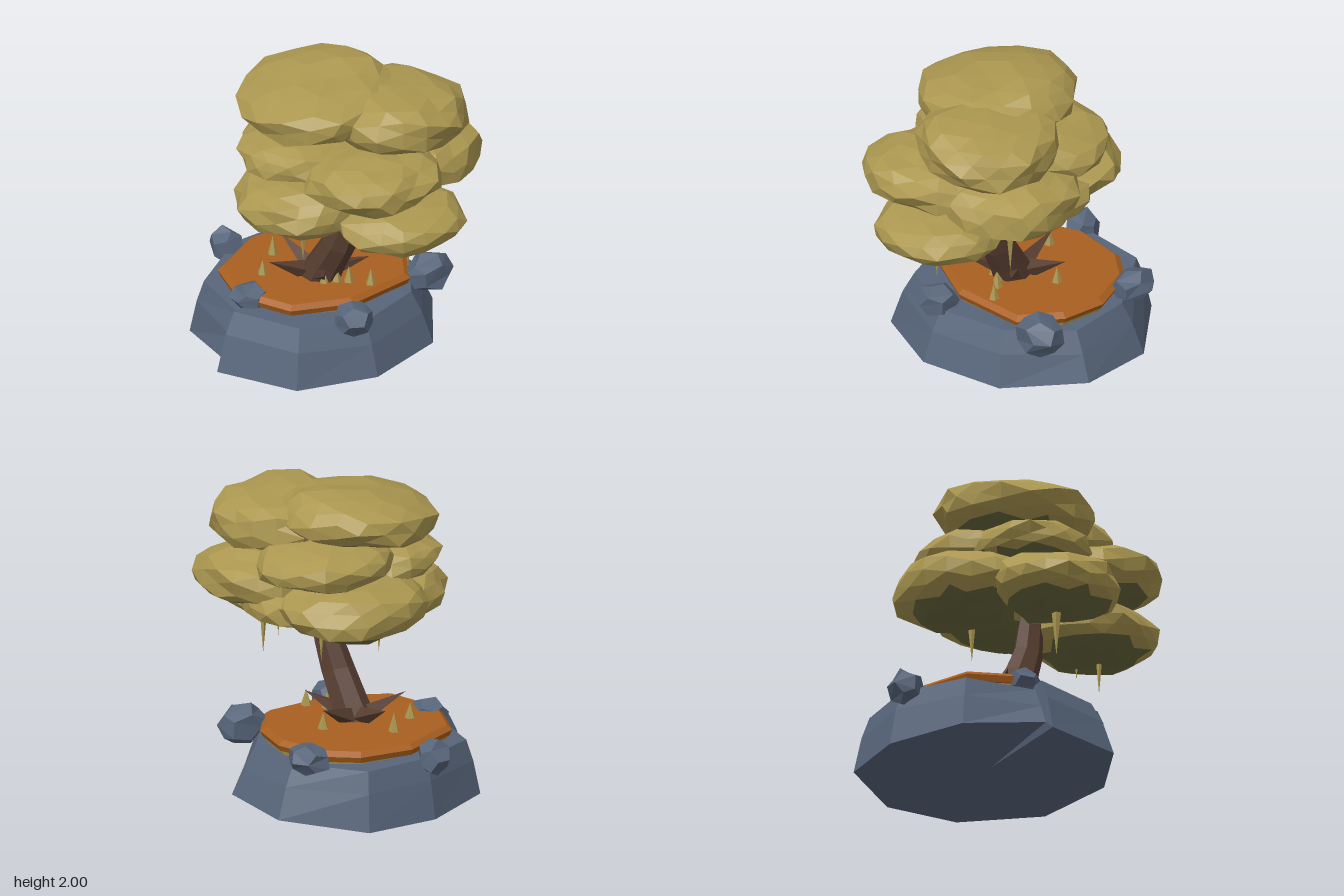
import * as THREE from 'three';

const mat = (name, color) => {
  const m = new THREE.MeshStandardMaterial({ color });
  m.name = name;
  return m;
};

// Seeded jitter from a position, so shared corners stay joined
function hash(x, y, z, seed) {
  const q = (v) => Math.round(v * 1000);
  const s = Math.sin(q(x) * 12.9898 + q(y) * 78.233 + q(z) * 37.719 + seed * 91.17) * 4375.5453;
  return s - Math.floor(s);
}

function flat(geo) {
  const g = geo.index ? geo.toNonIndexed() : geo;
  g.computeVertexNormals();
  return g;
}

function fromPositions(pos) {
  const g = new THREE.BufferGeometry();
  g.setAttribute('position', new THREE.Float32BufferAttribute(pos, 3));
  return g;
}

// Make a unit solid uneven; a power below 1 fills out its top and bottom
function rough(g, amount, seed, power) {
  const p = g.attributes.position;
  const v = new THREE.Vector3();
  for (let i = 0; i < p.count; i++) {
    v.fromBufferAttribute(p, i);
    const wave = 0.04 * Math.sin(v.x * 4 + seed) * Math.cos(v.z * 4 + seed * 2);
    const s = 1 + wave + amount * (hash(v.x, v.y, v.z, seed) - 0.5);
    p.setXYZ(i, v.x * s, Math.sign(v.y) * Math.abs(v.y) ** power * s, v.z * s);
  }
  return g;
}

// Split a unit solid into the faces above and below a height
function splitAt(g, height) {
  const a = g.attributes.position.array;
  const above = [], below = [];
  for (let i = 0; i < a.length; i += 9) {
    const midY = (a[i + 1] + a[i + 4] + a[i + 7]) / 3;
    (midY > height ? above : below).push(...a.slice(i, i + 9));
  }
  return [fromPositions(above), fromPositions(below)];
}

// Closed skin over a stack of rings, from the bottom up
function loft(rings) {
  const n = rings[0].length;
  const pos = [];
  const mid = (r) => [0, 1, 2].map((k) => r.reduce((s, p) => s + p[k], 0) / n);
  const low = rings[0], high = rings[rings.length - 1];
  const cLow = mid(low), cHigh = mid(high);
  for (let i = 0; i < n; i++) {
    const j = (i + 1) % n;
    for (let k = 0; k + 1 < rings.length; k++) {
      const a = rings[k][i], b = rings[k][j], c = rings[k + 1][j], d = rings[k + 1][i];
      pos.push(...a, ...b, ...c, ...a, ...c, ...d);
    }
    pos.push(...cLow, ...low[j], ...low[i], ...cHigh, ...high[i], ...high[j]);
  }
  return fromPositions(pos);
}

export function createModel() {
  const model = new THREE.Group();
  model.name = 'treeOnRock';
  const leaf = mat('olive leaf', 0xab9750);
  const shade = mat('dark olive underside', 0x68673c);
  const stone = mat('blue grey stone', 0x57657a);
  const soil = mat('orange ground', 0xa85f20);
  const bark = mat('dark bark', 0x573d30);

  const add = (name, geo, material, parent = model) => {
    const m = new THREE.Mesh(flat(geo), material);
    m.name = name;
    parent.add(m);
    return m;
  };
  const group = (name) => {
    const g = new THREE.Group();
    g.name = name;
    model.add(g);
    return g;
  };

  // Rocky base, with a small step where the outline meets at the front
  const outline = [[-0.23, 0.81], [0.33, 0.64], [0.56, 0.15], [0.47, -0.42], [0.05, -0.81],
    [-0.47, -0.81], [-0.95, -0.44], [-0.98, 0.05], [-0.75, 0.56], [-0.24, 0.74]];
  const lowLift = [0, 0.02, 0.03, 0.03, 0.04, 0.02, 0, 0, 0, 0.06];
  const highLift = [0.015, 0.02, 0, 0.01, -0.02, -0.01, 0.01, 0.02, -0.01, -0.03];
  const baseRing = (s, y) => outline.map(([x, z], i) => {
    const side = x < -0.7 ? s + (1 - s) * 0.35 : s;
    return [-0.21 + (x + 0.21) * side, y + (y === 0 ? lowLift : highLift)[i], z * side];
  });
  add('rockBase', loft([baseRing(1, 0), baseRing(0.91, 0.23), baseRing(0.82, 0.37)]), stone);

  // Ground: olive under-layer and chamfered orange top
  const ground = [[-0.3, 0.57], [0.08, 0.46], [0.28, 0.1], [0.28, -0.4], [0.04, -0.6],
    [-0.25, -0.66], [-0.58, -0.55], [-0.74, -0.36], [-0.8, 0], [-0.64, 0.42]];
  const groundRing = (s, y) => ground.map(([x, z]) => [-0.25 + (x + 0.25) * s, y, z * s]);
  add('underLayer', loft([groundRing(0.92, 0.33), groundRing(0.95, 0.395)]), leaf);
  add('groundTop', loft([groundRing(0.97, 0.39), groundRing(1, 0.43), groundRing(0.94, 0.46)]), soil);

  // Boulders on the rim: centre, then radii
  const boulders = group('boulders');
  [[-0.89, 0.39, 0.1, 0.115, 0.125, 0.115], [-0.26, 0.42, 0.5, 0.135, 0.095, 0.125],
    [0.38, 0.4, 0.2, 0.135, 0.11, 0.135], [0.27, 0.41, -0.58, 0.14, 0.145, 0.18],
    [-0.56, 0.43, -0.64, 0.16, 0.105, 0.13]].forEach(([x, y, z, rx, ry, rz], i) => {
    const g = rough(new THREE.DodecahedronGeometry(1, 0), 0.2, i + 3, 1);
    g.rotateY(i * 1.3);
    g.scale(rx, ry, rz);
    add('boulder', g, stone, boulders).position.set(x, y, z);
  });

  // Leaning trunk: x, y, z, radius
  const trunk = [[-0.15, 0.42, 0.01, 0.135], [-0.07, 0.57, 0, 0.12], [0.03, 0.74, -0.01, 0.11],
    [0.1, 0.92, -0.03, 0.095], [0.13, 1.1, -0.05, 0.085], [0.17, 1.35, -0.05, 0.06]];
  add('trunk', loft(trunk.map(([x, y, z, r]) => Array.from({ length: 7 }, (_, i) => {
    const a = i / 7 * Math.PI * 2 + 0.3;
    return [x + Math.sin(a) * r, y - Math.sin(a) * r * 0.3, z + Math.cos(a) * r];
  }))), bark);

  // Spiky roots flaring out of the trunk
  const roots = group('roots');
  for (let i = 0; i < 5; i++) {
    const a = Math.PI * 1.5 + i / 5 * Math.PI * 2;
    const g = new THREE.ConeGeometry(0.085, 0.37, 4);
    g.translate(0, 0.185, 0);
    const root = add('root', g, bark, roots);
    root.position.set(-0.16, 0.45, 0);
    root.quaternion.setFromUnitVectors(new THREE.Vector3(0, 1, 0),
      new THREE.Vector3(Math.sin(a), 0.44, Math.cos(a)).normalize());
  }

  // Grass spikes: x, z, height
  const grass = group('grassSpikes');
  [[-0.52, 0.05, 0.14], [-0.37, 0.28, 0.11], [-0.02, 0.07, 0.13], [0.02, 0, 0.1], [0.08, -0.05, 0.12],
    [0.2, -0.13, 0.12], [-0.22, -0.29, 0.12]].forEach(([x, z, h]) => {
    add('grassSpike', new THREE.ConeGeometry(0.038, h, 5), leaf, grass).position.set(x, 0.45 + h / 2, z);
  });

  // Hanging vines: x, z, tip height, radius
  const vines = group('hangingVines');
  [[-0.17, -0.27, 0.9, 0.025], [0.08, 0.35, 0.76, 0.04], [0.32, -0.38, 0.83, 0.028],
    [0.57, -0.2, 0.92, 0.018], [0.64, -0.04, 0.78, 0.032]].forEach(([x, z, y, r]) => {
    const h = 1.14 - y;
    const g = new THREE.ConeGeometry(r, h, 5);
    g.rotateX(Math.PI);
    add('hangingVine', g, leaf, vines).position.set(x, y + h / 2, z);
  });

  // Layered crown of flattened leaf clumps: centre, radii, forward tilt
  const crown = group('crown');
  [[-0.07, 1.8, 0.07, 0.5, 0.175, 0.53, 0.1], [0.35, 1.74, -0.22, 0.46, 0.19, 0.46, -0.04],
    [-0.05, 1.49, 0.3, 0.38, 0.13, 0.36, 0], [0.5, 1.46, 0.12, 0.42, 0.165, 0.45, 0],
    [0.3, 1.4, -0.38, 0.45, 0.19, 0.43, 0], [-0.13, 1.56, -0.22, 0.43, 0.15, 0.44, 0],
    [-0.32, 1.29, -0.12, 0.43, 0.19, 0.5, 0], [0.07, 1.22, 0.39, 0.43, 0.17, 0.38, 0],
    [0.58, 1.14, 0, 0.42, 0.155, 0.42, 0], [0.08, 1.27, -0.33, 0.42, 0.15, 0.34, 0],
  ].forEach(([x, y, z, rx, ry, rz, tilt], i) => {
    const solid = rough(new THREE.IcosahedronGeometry(1, 2), 0.15, i + 1, 0.8);
    splitAt(solid, -0.66).forEach((g, below) => {
      g.rotateY(i * 0.9);
      g.scale(rx, ry, rz);
      g.rotateX(tilt);
      add(below ? 'leafUnderside' : 'leafClump', g, below ? shade : leaf, crown).position.set(x, y, z);
    });
  });

  return model;
}
